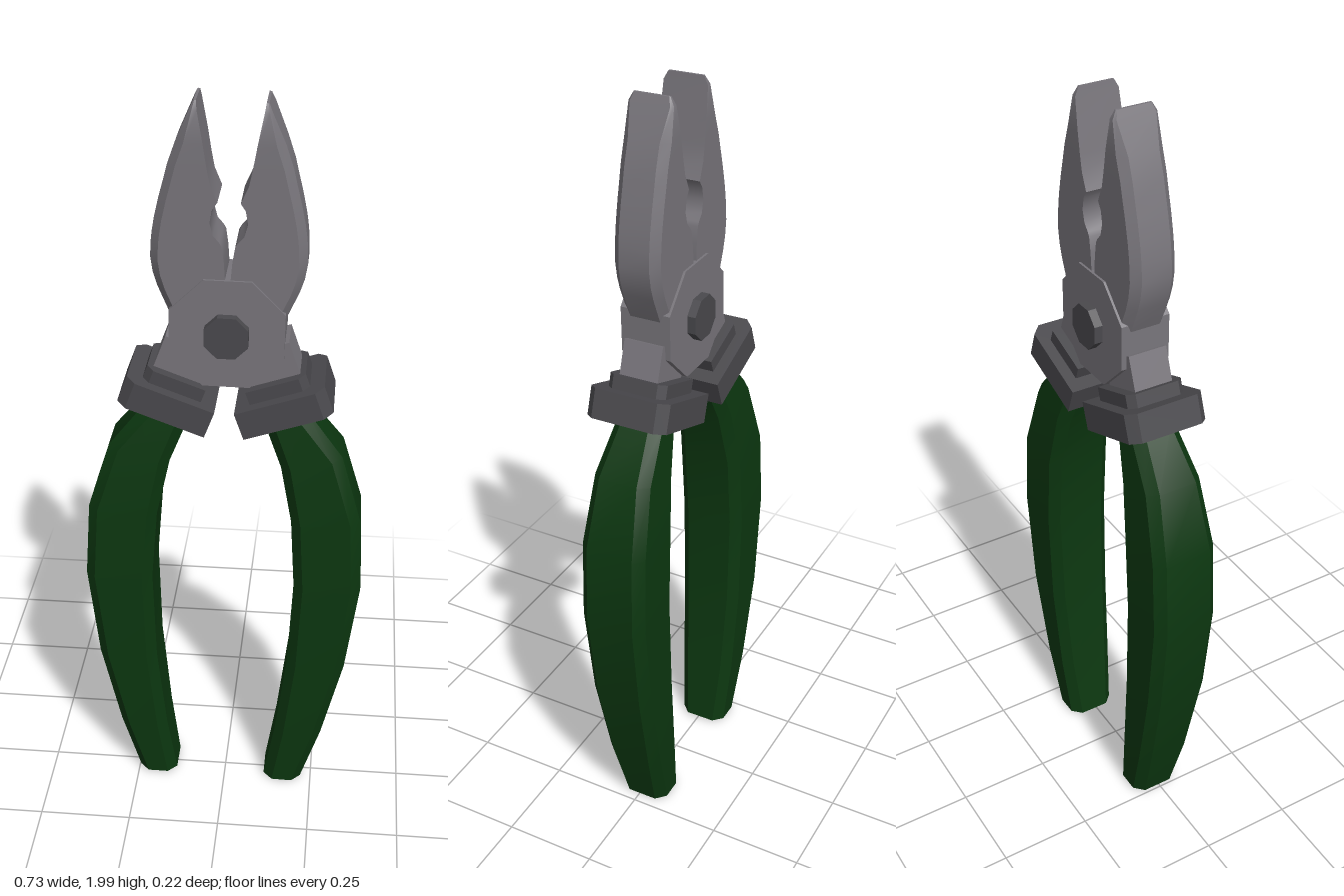
import * as THREE from 'three';
import { toCreasedNormals } from 'three/addons/utils/BufferGeometryUtils.js';

const material = (name, color) => {
  const m = new THREE.MeshStandardMaterial({ color });
  m.name = name;
  return m;
};

// Solid skin over convex rings stacked from bottom to top, capped at both ends
function loft(rings, crease) {
  const n = rings[0].length, index = [];
  for (let r = 0; r < rings.length - 1; r++) {
    for (let i = 0; i < n; i++) {
      const a = r * n + i, b = r * n + (i + 1) % n;
      index.push(a, b, b + n, a, b + n, a + n);
    }
  }
  const top = (rings.length - 1) * n;
  for (let i = 1; i < n - 1; i++) {
    index.push(0, i + 1, i, top, top + i, top + i + 1);
  }
  const g = new THREE.BufferGeometry();
  g.setAttribute('position', new THREE.Float32BufferAttribute(rings.flat(2), 3));
  g.setIndex(index);
  return toCreasedNormals(g, crease);
}

// Mirrors a ring for the other side and keeps its winding
const sided = (ring, s) => s > 0 ? ring : ring.map(([x, y, z]) => [-x, y, z]).reverse();

// Jaw rows: y, inner x, outer x, half depth
const JAW = [
  [1.46, 0.006, 0.136, 0.06], [1.54, 0.006, 0.17, 0.06], [1.575, 0.007, 0.181, 0.06],
  [1.615, 0.010, 0.187, 0.06], [1.655, 0.016, 0.185, 0.06], [1.665, 0.022, 0.184, 0.06],
  [1.682, 0.037, 0.182, 0.06], [1.713, 0.045, 0.177, 0.06], [1.745, 0.039, 0.170, 0.06],
  [1.763, 0.027, 0.166, 0.06], [1.805, 0.045, 0.155, 0.06], [1.845, 0.053, 0.145, 0.06],
  [1.90, 0.062, 0.126, 0.06], [1.975, 0.076, 0.094, 0.057], [1.995, 0.079, 0.085, 0.046],
];

// Grip rows: inner x, inner y, outer x, outer y, half depth
const GRIP = [
  [0.127, 0.008, 0.233, 0.007, 0.066], [0.154, 0.19, 0.284, 0.19, 0.078],
  [0.180, 0.44, 0.337, 0.44, 0.087], [0.189, 0.706, 0.366, 0.706, 0.09],
  [0.175, 0.905, 0.353, 0.918, 0.089], [0.143, 1.06, 0.297, 1.10, 0.077],
  [0.0955, 1.18, 0.2016, 1.22, 0.062],
];

function jawGeometry(s) {
  return loft(JAW.map(([y, a, b, h]) => {
    const c = Math.min(0.02, (b - a) * 0.35);
    return sided([[b - c, y, h], [b, y, h - c], [b, y, c - h], [b - c, y, -h],
      [a, y, -h], [a, y, h]], s);
  }), 0.6);
}

function gripGeometry(s) {
  return loft(GRIP.map(([xi, yi, xo, yo, h]) => {
    const at = (t, z) => [xi + (xo - xi) * t, yi + (yo - yi) * t, z];
    const c = 0.025, t = c / (xo - xi);
    return sided([at(1 - t, h), at(1, h - c), at(1, c - h), at(1 - t, -h),
      at(t, -h), at(0, c - h), at(0, h - c), at(t, h)], s);
  }), 0.6);
}

// Flat block whose two outer corners are cut off
function collarGeometry(s, width, thickness, depth, cut) {
  const w = width / 2, d = depth / 2;
  const pts = [[-w, -d], [w - cut, -d], [w, -d + cut], [w, d - cut], [w - cut, d], [-w, d]];
  const shape = new THREE.Shape(pts.map(([x, z]) => new THREE.Vector2(x * s, z)));
  const g = new THREE.ExtrudeGeometry(shape, { depth: thickness, bevelEnabled: false });
  return g.translate(0, 0, -thickness / 2).rotateX(-Math.PI / 2);
}

export function createModel() {
  const steel = material('steel', 0x78757b);
  const darkSteel = material('darkSteel', 0x4a494d);
  const green = material('greenRubber', 0x0c3710);

  const root = new THREE.Group();
  root.name = 'pliers';
  const tool = new THREE.Group();
  tool.name = 'tool';
  tool.rotation.set(0.0075, 0, -0.0148);
  tool.position.set(-0.013, 0, -0.008);
  root.add(tool);

  const add = (parent, name, geometry, mat, x = 0, y = 0, z = 0) => {
    const mesh = new THREE.Mesh(geometry, mat);
    mesh.name = name;
    mesh.position.set(x, y, z);
    parent.add(mesh);
  };

  for (const s of [1, -1]) {
    const side = s > 0 ? 'left' : 'right';
    add(tool, side + 'Jaw', jawGeometry(s), steel);
    add(tool, side + 'Grip', gripGeometry(s), green);

    // Tilted collar, its raised step and the neck into the joint
    const guard = new THREE.Group();
    guard.name = side + 'Guard';
    guard.position.set(0.146 * s, 1.241, 0);
    guard.rotation.z = 0.345 * s;
    tool.add(guard);
    add(guard, side + 'Collar', collarGeometry(s, 0.232, 0.074, 0.216, 0.024), darkSteel);
    add(guard, side + 'CollarStep', collarGeometry(s, 0.155, 0.036, 0.156, 0.018), darkSteel, 0, 0.054);
    add(guard, side + 'Neck', new THREE.BoxGeometry(0.125, 0.11, 0.104), steel, 0, 0.105);
  }

  // Eight-sided joint and the bolt through it
  const prism = (radius, depth) =>
    new THREE.CylinderGeometry(radius, radius, depth, 8).rotateY(Math.PI / 8).rotateX(Math.PI / 2);
  const flat = (g) => toCreasedNormals(g, 0.3);
  add(tool, 'joint', flat(prism(0.152, 0.132)), steel, 0, 1.431);
  add(tool, 'bolt', flat(prism(0.058, 0.176)), darkSteel, 0, 1.431);

  return root;
}
